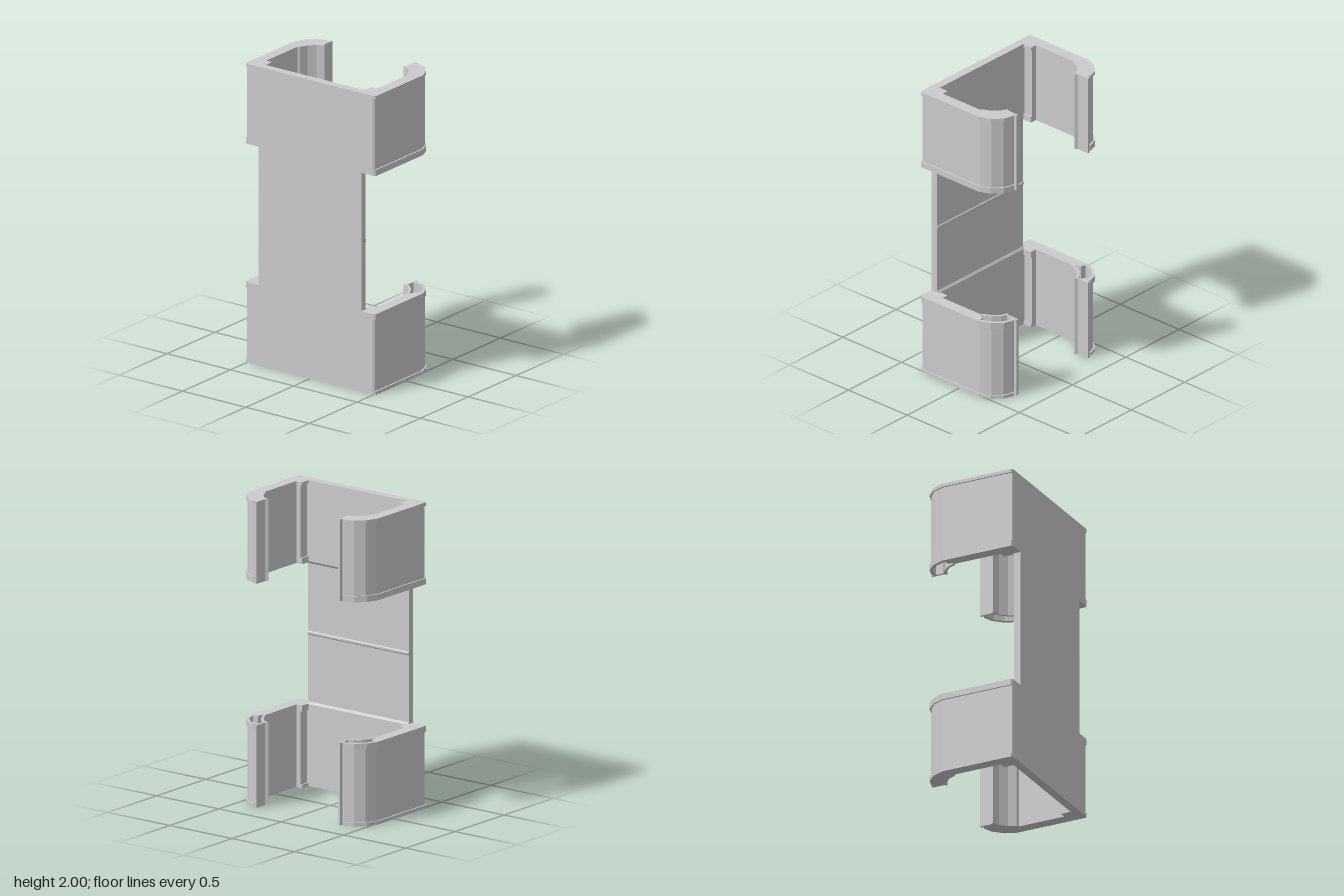
import * as THREE from 'three';

const material = new THREE.MeshStandardMaterial({ color: 0xcccccc, flatShading: true });

// Plan outlines as [x, z]; d pulls the outer skin inwards.
const outerArc = d => [[0.515 - d, -0.168], [0.485 - d, -0.243], [0.427 - d * 0.6, -0.303 + d], [0.36, -0.325 + d]];
const lip = [[0.345, -0.315], [0.343, -0.335], [0.327, -0.335], [0.327, -0.25]];
const innerArc = [[0.312, -0.236], [0.36, -0.215], [0.4, -0.175], [0.422, -0.125], [0.447, -0.108]];
const corner = d => [[0.437, -0.115], [0.437, 0.207], [0.392 + d, 0.207], [0.39 + d, 0.27], [0.405, 0.275],
  [0.405, 0.33], [0.502 - d, 0.33], [0.515 - d, 0.32]];

const fullArm = d => [...outerArc(d), ...lip, ...innerArc, ...corner(d)];
const wall = d => [[0.515 - d, -0.168], [0.46, -0.155], [0.447, -0.108], ...corner(d)];
const outerShell = d => [...outerArc(d), ...lip,
  [0.34, -0.25], [0.343, -0.3], [0.362, -0.302], [0.418, -0.283], [0.467, -0.232], [0.492, -0.165]];
const innerShell = () => [[0.327, -0.25], ...innerArc, [0.447, -0.125], [0.436, -0.135], [0.412, -0.185], [0.366, -0.229]];

// Extrudes a plan outline from height y0 to y1.
function slab(name, points, side, y0, y1) {
  const shape = new THREE.Shape(points.map(([x, z]) => new THREE.Vector2(x * side, -z)));
  const geometry = new THREE.ExtrudeGeometry(shape, { depth: y1 - y0, bevelEnabled: false });
  geometry.rotateX(-Math.PI / 2).translate(0, y0, 0);
  const mesh = new THREE.Mesh(geometry, material);
  mesh.name = name;
  return mesh;
}

// Pair of curved gripping arms with flanges; the inner end of each hook is hollow.
function createClip(name, height) {
  const clip = new THREE.Group();
  clip.name = name;
  const rim = height - 0.04, floor = height - 0.09;
  for (const side of [1, -1]) {
    const arm = new THREE.Group();
    arm.name = side > 0 ? 'leftArm' : 'rightArm';
    arm.add(slab('endFlange', fullArm(0), side, 0, 0.022));
    arm.add(slab('armBody', fullArm(0.01), side, 0.022, floor));
    for (const [d, y0, y1] of [[0.01, floor, rim], [0, rim, height]]) {
      const part = d ? 'hollow' : 'flange';
      arm.add(slab(part + 'Wall', wall(d), side, y0, y1));
      arm.add(slab(part + 'OuterShell', outerShell(d), side, y0, y1));
      arm.add(slab(part + 'InnerShell', innerShell(), side, y0, y1));
    }
    clip.add(arm);
  }
  return clip;
}

// Front plate: side section with thicker ends and a small ridge across the middle.
function createPlate() {
  const section = [[0.33, 0], [0.33, 2], [0.275, 2], [0.275, 1.47], [0.286, 1.455],
    [0.286, 1.013], [0.28, 1.006], [0.28, 0.994], [0.286, 0.987], [0.286, 0.55], [0.275, 0.535], [0.275, 0]];
  const shape = new THREE.Shape(section.map(([z, y]) => new THREE.Vector2(-z, y)));
  const geometry = new THREE.ExtrudeGeometry(shape, { depth: 0.81, bevelEnabled: false });
  geometry.translate(0, 0, -0.405).rotateY(Math.PI / 2);
  const plate = new THREE.Mesh(geometry, material);
  plate.name = 'frontPlate';
  return plate;
}

export function createModel() {
  const model = new THREE.Group();
  model.name = 'clipBracket';
  const lower = createClip('lowerClip', 0.54);
  // The upper clip is the lower one turned upside down.
  const upper = createClip('upperClip', 0.535);
  upper.rotation.z = Math.PI;
  upper.position.y = 2;
  model.add(createPlate(), lower, upper);
  return model;
}
